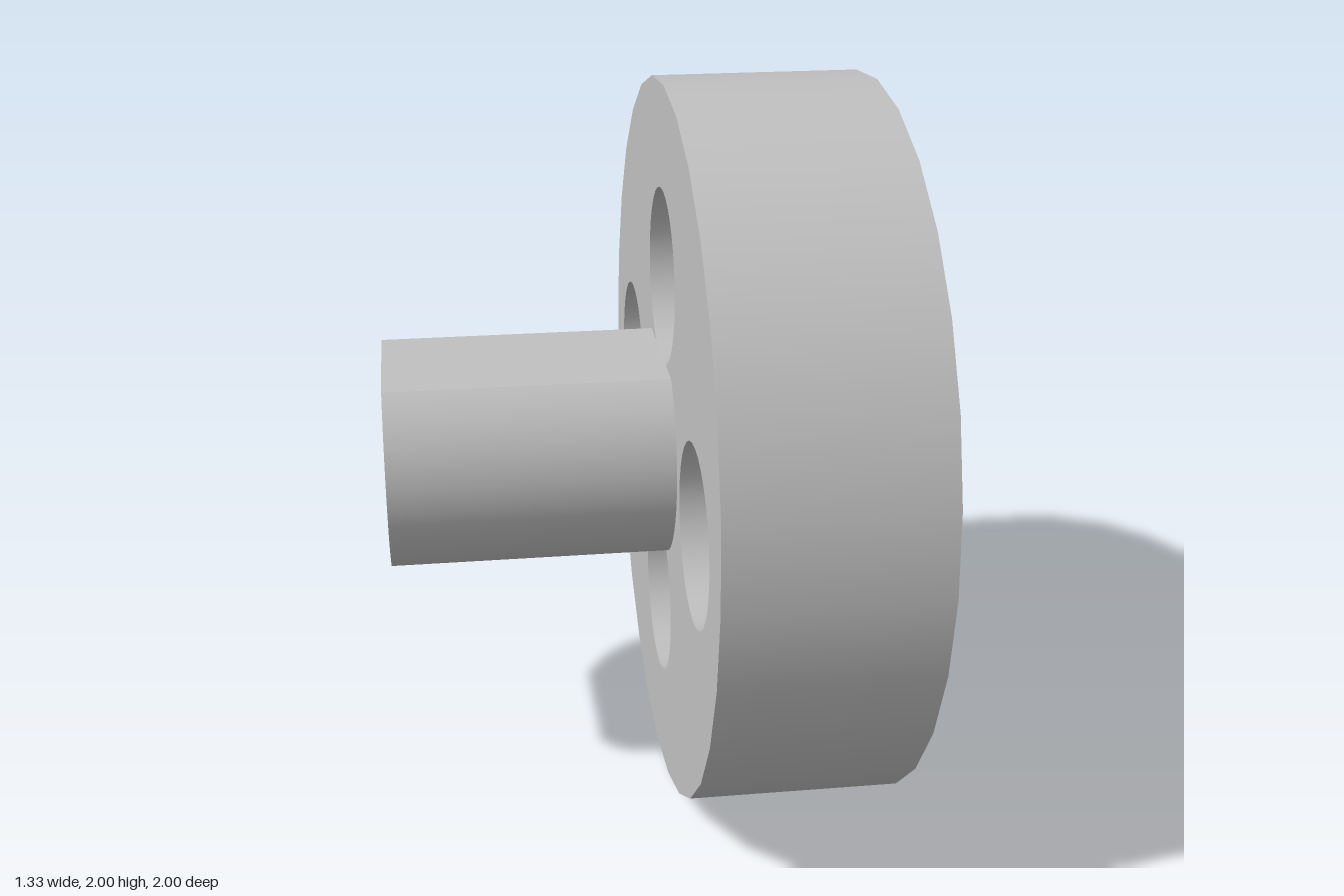
import * as THREE from 'three';
import { mergeGeometries } from 'three/addons/utils/BufferGeometryUtils.js';

// Parts are built along local z, which is turned onto x at the end.
const R = 1, RIM_SIDES = 28, HOLE_SIDES = 32;
const BACK = 0.1, FRONT = 0.665, END = -0.665;   // disc faces and shaft end
const STEP = 0.46;                               // floor of the counterbores
const SHAFT_R = 0.32, FLAT = 0.257;
const BOLTS = [[0.6, 0], [-0.6, 0], [0, 0.48], [0, -0.48]];

const circle = (r, n, u = 0, v = 0) => Array.from({ length: n }, (_, i) => {
  const a = (i / n) * Math.PI * 2;
  return new THREE.Vector2(u + r * Math.cos(a), v + r * Math.sin(a));
});

// Flat face with holes at depth z, facing +z or -z
function face(outline, holes, z, dir) {
  const shape = new THREE.Shape(outline);
  shape.holes = holes.map((h) => new THREE.Path(h));
  const g = new THREE.ShapeGeometry(shape);
  if (dir < 0) g.rotateY(Math.PI);
  return g.translate(0, 0, z);
}

// Round wall from a to b: faces outward when a < b, inward when a > b
function wall(r, a, b, n, u = 0, v = 0, start = 0, sweep = Math.PI * 2) {
  const line = [new THREE.Vector2(r, a), new THREE.Vector2(r, b)];
  return new THREE.LatheGeometry(line, n, start, sweep).rotateX(Math.PI / 2).translate(u, v, 0);
}

function buildDisc() {
  const rim = circle(R, RIM_SIDES);
  const parts = [
    wall(R, BACK, FRONT, RIM_SIDES),
    face(rim, [circle(0.2, HOLE_SIDES), ...BOLTS.map(([u, v]) => circle(0.12, HOLE_SIDES, u, v))], FRONT, 1),
    face(rim, BOLTS.map(([u, v]) => circle(0.24, HOLE_SIDES, u, v)), BACK, -1),
    // blind centre bore
    wall(0.2, FRONT, FRONT - 0.25, HOLE_SIDES),
    face(circle(0.2, HOLE_SIDES), [], FRONT - 0.25, 1),
  ];
  // counterbored bolt holes
  for (const [u, v] of BOLTS) {
    parts.push(
      wall(0.12, FRONT, STEP, HOLE_SIDES, u, v),
      wall(0.24, STEP, BACK, HOLE_SIDES, u, v),
      face(circle(0.24, HOLE_SIDES, u, v), [circle(0.12, HOLE_SIDES, u, v)], STEP, -1),
    );
  }
  return mergeGeometries(parts);
}

function buildShaft() {
  const half = Math.asin(FLAT / SHAFT_R), n = 16, length = BACK - END;
  const outline = [];
  for (const mid of [0, Math.PI]) {
    for (let i = 0; i <= n; i++) {
      const a = mid - half + (2 * half * i) / n;
      outline.push(new THREE.Vector2(SHAFT_R * Math.cos(a), SHAFT_R * Math.sin(a)));
    }
  }
  const depth = END + 0.4;
  const parts = [
    face(outline, [circle(0.13, HOLE_SIDES)], END, -1),
    face(outline, [], BACK, 1),
    // blind bore in the shaft end
    wall(0.13, depth, END, HOLE_SIDES),
    face(circle(0.13, HOLE_SIDES), [], depth, -1),
  ];
  // two round sides and two flats
  for (const s of [1, -1]) {
    parts.push(
      wall(SHAFT_R, END, BACK, n, 0, 0, s * Math.PI / 2 - half, 2 * half),
      new THREE.PlaneGeometry(2 * SHAFT_R * Math.cos(half), length)
        .rotateX(-s * Math.PI / 2).translate(0, s * FLAT, (END + BACK) / 2),
    );
  }
  return mergeGeometries(parts);
}

export function createModel() {
  const steel = new THREE.MeshStandardMaterial({ color: 0xc0c0c0 });
  steel.name = 'steel grey';
  const model = new THREE.Group();
  model.name = 'flangedShaft';
  for (const [name, geometry] of [['flangeDisc', buildDisc()], ['shaft', buildShaft()]]) {
    const mesh = new THREE.Mesh(geometry.rotateY(Math.PI / 2).translate(0, R, 0), steel);
    mesh.name = name;
    model.add(mesh);
  }
  return model;
}
